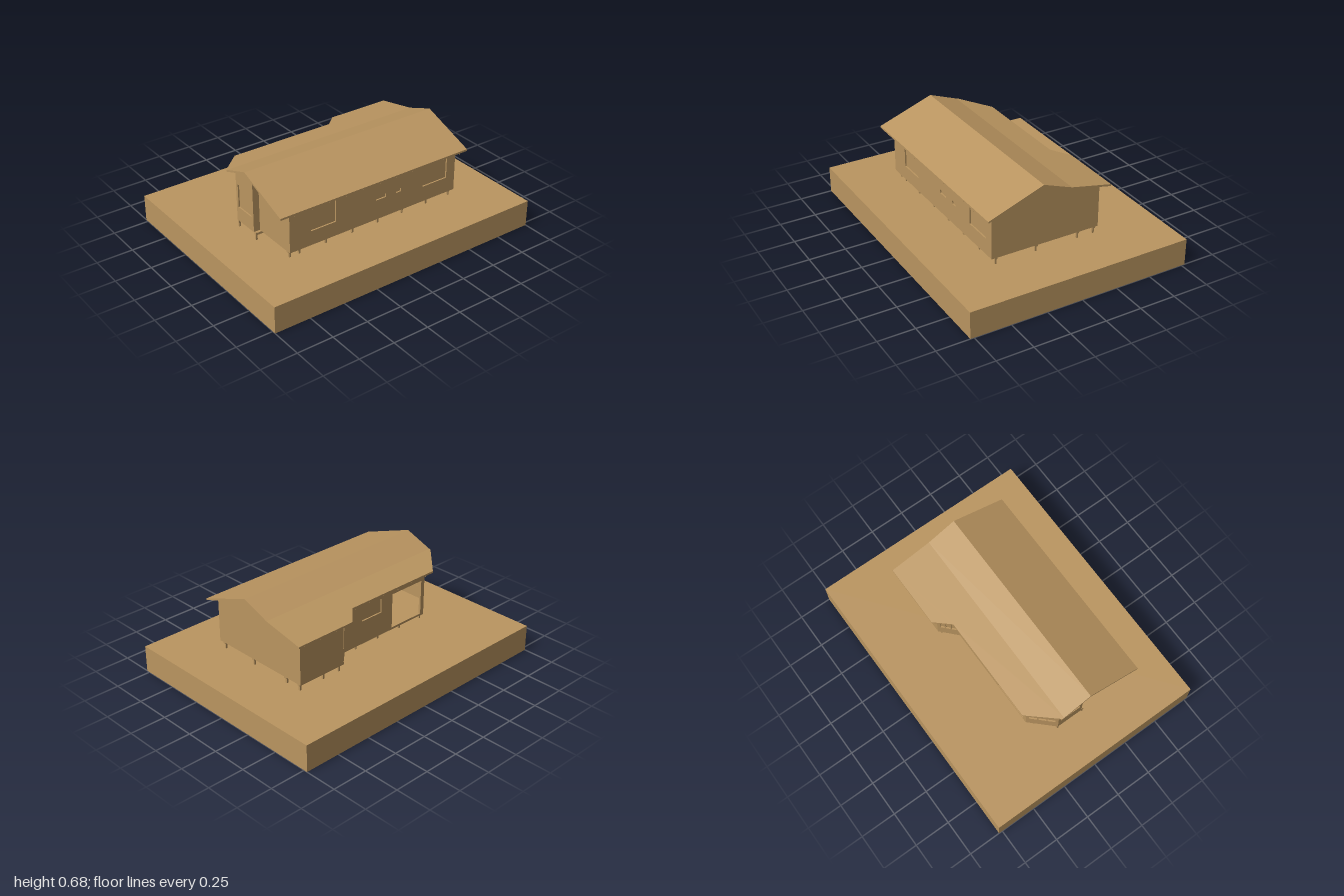
import * as THREE from 'three';

const wood = new THREE.MeshStandardMaterial({ color: 0xba9560, flatShading: true });
wood.name = 'wood';

// Roof top line as [z, y], front eave to back eave
const PROFILE = [[0.482, 0.54], [0.1, 0.68], [-0.1, 0.606], [-0.39, 0.546]];
const ROOF_T = 0.013, WALL_T = 0.015, WALL_Y = 0.235;

function roofY(z) {
  let i = 0;
  while (i < 2 && z < PROFILE[i + 1][0]) i++;
  const [z0, y0] = PROFILE[i], [z1, y1] = PROFILE[i + 1];
  return y0 + (y1 - y0) * (z - z0) / (z1 - z0);
}

// Back edge of the roof at a given x
function backEdge(x) {
  if (x < -0.58) return -0.11 - (x + 0.75) * 0.18 / 0.17;
  if (x < 0.16) return -0.29;
  return Math.max(-0.39, -0.29 - (x - 0.16));
}

function add(parent, geo, name) {
  const m = new THREE.Mesh(geo, wood);
  m.name = name;
  parent.add(m);
  return m;
}

function box(parent, name, w, h, d, x, y, z) {
  add(parent, new THREE.BoxGeometry(w, h, d), name).position.set(x, y, z);
}

// Flat plate from a plan outline of [x, z] points, thickness t upward from y = 0
function plate(points, t) {
  const shape = new THREE.Shape(points.map(([x, z]) => new THREE.Vector2(x, -z)));
  return new THREE.ExtrudeGeometry(shape, { depth: t, bevelEnabled: false }).rotateX(-Math.PI / 2);
}

// Plate that follows the roof slope, its top lowered by drop
function slopedPlate(points, t, drop) {
  const geo = plate(points, t), p = geo.attributes.position;
  for (let i = 0; i < p.count; i++) p.setY(i, p.getY(i) - t - drop + roofY(p.getZ(i)));
  geo.computeVertexNormals();
  return geo;
}

// Row of equal panes between u0 and u1
function panes(n, u0, u1, y0, y1) {
  const w = (u1 - u0) / n;
  return Array.from({ length: n }, (_, i) => [u0 + i * w + 0.004, u0 + (i + 1) * w - 0.004, y0, y1]);
}

// Wall from a to b, its top cut to the roof; openings are [u0, u1, y0, y1, isDoor]
function wall(parent, name, a, b, openings = []) {
  const dx = b[0] - a[0], dz = b[1] - a[1], L = Math.hypot(dx, dz);
  const top = z => roofY(z) - ROOF_T + 0.002;
  const pts = [[0, WALL_Y], [L, WALL_Y], [L, top(b[1])]];
  const breaks = [0.1, -0.1].filter(z => (z - a[1]) * (z - b[1]) < -1e-6)
    .map(z => [L * (z - a[1]) / dz, top(z)]).sort((p, q) => q[0] - p[0]);
  pts.push(...breaks, [0, top(a[1])]);
  const shape = new THREE.Shape(pts.map(p => new THREE.Vector2(...p)));
  const g = new THREE.Group();
  g.name = name;
  for (const [u0, u1, y0, y1, isDoor] of openings) {
    shape.holes.push(new THREE.Path([[u0, y0], [u0, y1], [u1, y1], [u1, y0]].map(p => new THREE.Vector2(...p))));
    if (!isDoor) box(g, 'windowPane', u1 - u0, y1 - y0, 0.004, (u0 + u1) / 2, (y0 + y1) / 2, 0.003);
  }
  add(g, new THREE.ExtrudeGeometry(shape, { depth: WALL_T, bevelEnabled: false }), name + 'Panel');
  g.rotation.y = Math.atan2(-dz, dx);
  g.position.set(a[0] + dz / L * WALL_T, 0, a[1] - dx / L * WALL_T);
  parent.add(g);
}

export function createModel() {
  const model = new THREE.Group();
  model.name = 'house';

  box(model, 'base', 2, 0.185, 1.55, 0, 0.0925, 0);

  // Walls around the footprint, starting at the front
  const F = [[-0.655, 0.43], [0.65, 0.43], [0.65, -0.34], [0.288, -0.34], [0.18, -0.24],
    [-0.555, -0.24], [-0.7, -0.09], [-0.7, 0.1], [-0.655, 0.1]];
  const walls = [
    ['frontWall', [[0.155, 0.345, 0.335, 0.49], [0.655, 0.735, 0.375, 0.4],
      [0.815, 0.855, 0.375, 0.4], [1.035, 1.235, 0.345, 0.5]]],
    ['leftEndWall', []],
    ['backWingWall', []],
    ['wingAngledWall', panes(3, 0.015, 0.132, 0.325, 0.5)],
    ['backWall', [[0.155, 0.33, 0.4, 0.5], [0.43, 0.705, 0.25, 0.495, true]]],
    ['cornerAngledWall', panes(3, 0.015, 0.194, 0.33, 0.5)],
    ['bayWall', [[0.02, 0.17, 0.335, 0.5]]],
    ['bayReturnWall', []],
    ['rightEndWall', []],
  ];
  walls.forEach(([name, openings], i) => wall(model, name, F[i], F[(i + 1) % F.length], openings));

  // Floor
  const floor = add(model, plate(F.map(([x, z]) => [x * 0.99, z * 0.99]), 0.012), 'floor');
  floor.position.y = 0.236;

  // Roof in three slopes, the rear one cut to follow the walls
  const x0 = -0.752, x1 = 0.702;
  const slopes = [
    ['frontRoof', [[x0, 0.482], [x1, 0.482], [x1, 0.1], [x0, 0.1]]],
    ['upperBackRoof', [[x0, 0.1], [x1, 0.1], [x1, -0.1], [x0, -0.1]]],
    ['lowerBackRoof', [[x0, -0.1], [x1, -0.1], [x1, -0.39], [0.26, -0.39], [0.16, -0.29], [-0.58, -0.29], [x0, -0.11]]],
  ];
  for (const [name, pts] of slopes) add(model, slopedPlate(pts, ROOF_T, 0), name);

  // Rafters under the roof
  for (let i = 0; i <= 10; i++) {
    const x = -0.645 + i * 0.129, l = x - 0.004, r = x + 0.004;
    const stops = [0.478, 0.1, -0.1, Math.max(backEdge(l), backEdge(r)) + 0.004];
    for (let k = 0; k < 3; k++) {
      const s = stops[k], e = stops[k + 1];
      add(model, slopedPlate([[l, s], [r, s], [r, e], [l, e]], 0.011, ROOF_T - 0.001), 'rafter');
    }
  }

  // Floor beams as [z, start x, end x]
  for (const [z, s, e] of [[0.395, -0.65, 0.645], [0.11, -0.697, 0.645], [-0.195, -0.59, 0.645], [-0.315, 0.27, 0.645]])
    box(model, 'floorBeam', e - s, 0.016, 0.02, (s + e) / 2, 0.229, z);

  // Posts in rows
  const grid = [-0.565, -0.365, -0.16, 0.04, 0.24, 0.44, 0.632];
  const rows = [[0.395, [-0.635, ...grid]], [0.11, [-0.69, ...grid]], [-0.085, [-0.69, -0.655]],
    [-0.195, grid], [-0.315, [0.305, 0.44, 0.632]]];
  for (const [z, xs] of rows)
    for (const x of xs) box(model, 'post', 0.012, 0.055, 0.012, x, 0.21, z);

  return model;
}
